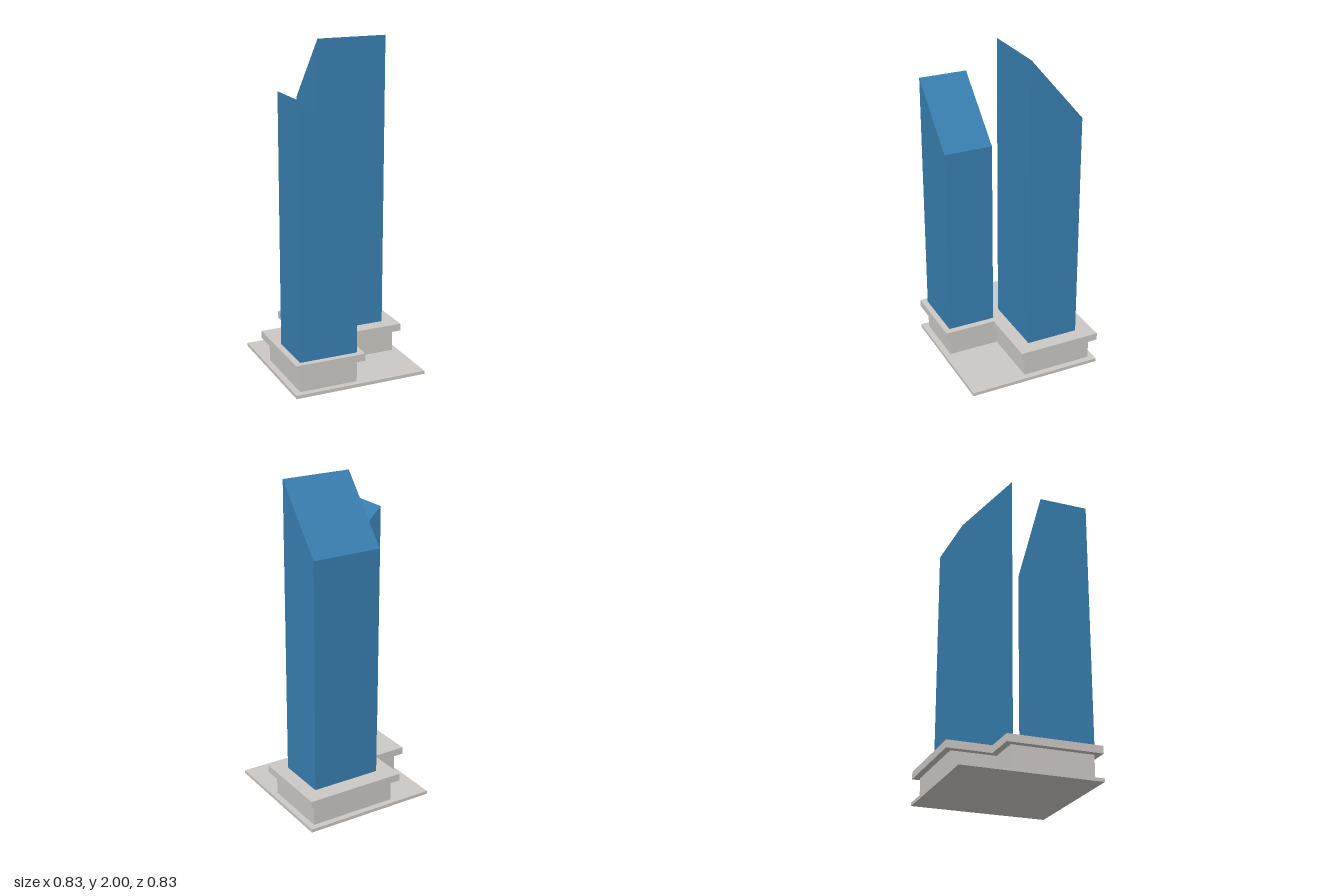
import * as THREE from 'three';

const HALF = 0.417;

// Square with two opposite corners notched, shrunk by an inset on every side
function notchedBlock(inset, y0, y1, material, name) {
  const h = HALF - inset;
  const frontX = 0.02 - inset, frontZ = 0.097 - inset;
  const backX = -0.204 + inset, backZ = -0.151 + inset;
  const outline = [
    [-h, h], [frontX, h], [frontX, frontZ], [h, frontZ],
    [h, -h], [backX, -h], [backX, backZ], [-h, backZ],
  ];
  const shape = new THREE.Shape(outline.map(([x, z]) => new THREE.Vector2(x, -z)));
  const geometry = new THREE.ExtrudeGeometry(shape, { depth: y1 - y0, bevelEnabled: false });
  geometry.rotateX(-Math.PI / 2).translate(0, y0, 0);
  const mesh = new THREE.Mesh(geometry, material);
  mesh.name = name;
  return mesh;
}

// Box tower whose top corners are set to roof(x, z)
function tower(x0, x1, z0, z1, roof, material, name) {
  const base = 0.205;
  const geometry = new THREE.BoxGeometry(x1 - x0, 1, z1 - z0);
  geometry.translate((x0 + x1) / 2, 0, (z0 + z1) / 2);
  const p = geometry.attributes.position;
  for (let i = 0; i < p.count; i++) {
    p.setY(i, p.getY(i) > 0 ? roof(p.getX(i), p.getZ(i)) : base);
  }
  geometry.computeVertexNormals();
  const mesh = new THREE.Mesh(geometry, material);
  mesh.name = name;
  return mesh;
}

export function createModel() {
  const stone = new THREE.MeshStandardMaterial({ color: 0xcbc8c5 });
  stone.name = 'pale stone';
  const glass = new THREE.MeshStandardMaterial({ color: 0x387fb1 });
  glass.name = 'blue glass';

  const model = new THREE.Group();
  model.name = 'twinTowers';

  // Ground plate
  const plate = new THREE.Mesh(new THREE.BoxGeometry(2 * HALF, 0.02, 2 * HALF), stone);
  plate.position.y = 0.01;
  plate.name = 'groundPlate';
  model.add(plate);

  // Podium walls and overhanging roof slab
  model.add(notchedBlock(0.038, 0.02, 0.16, stone, 'podiumWalls'));
  model.add(notchedBlock(0, 0.16, 0.205, stone, 'podiumRoof'));

  // Towers with roofs sloping in different directions
  model.add(tower(-0.379, -0.02, 0.083, 0.381,
    (x) => (x < -0.2 ? 1.73 : 1.38), glass, 'frontTower'));
  model.add(tower(-0.103, 0.329, -0.313, 0.01,
    (x, z) => (z > -0.15 ? 2 : 1.615), glass, 'rearTower'));

  return model;
}
